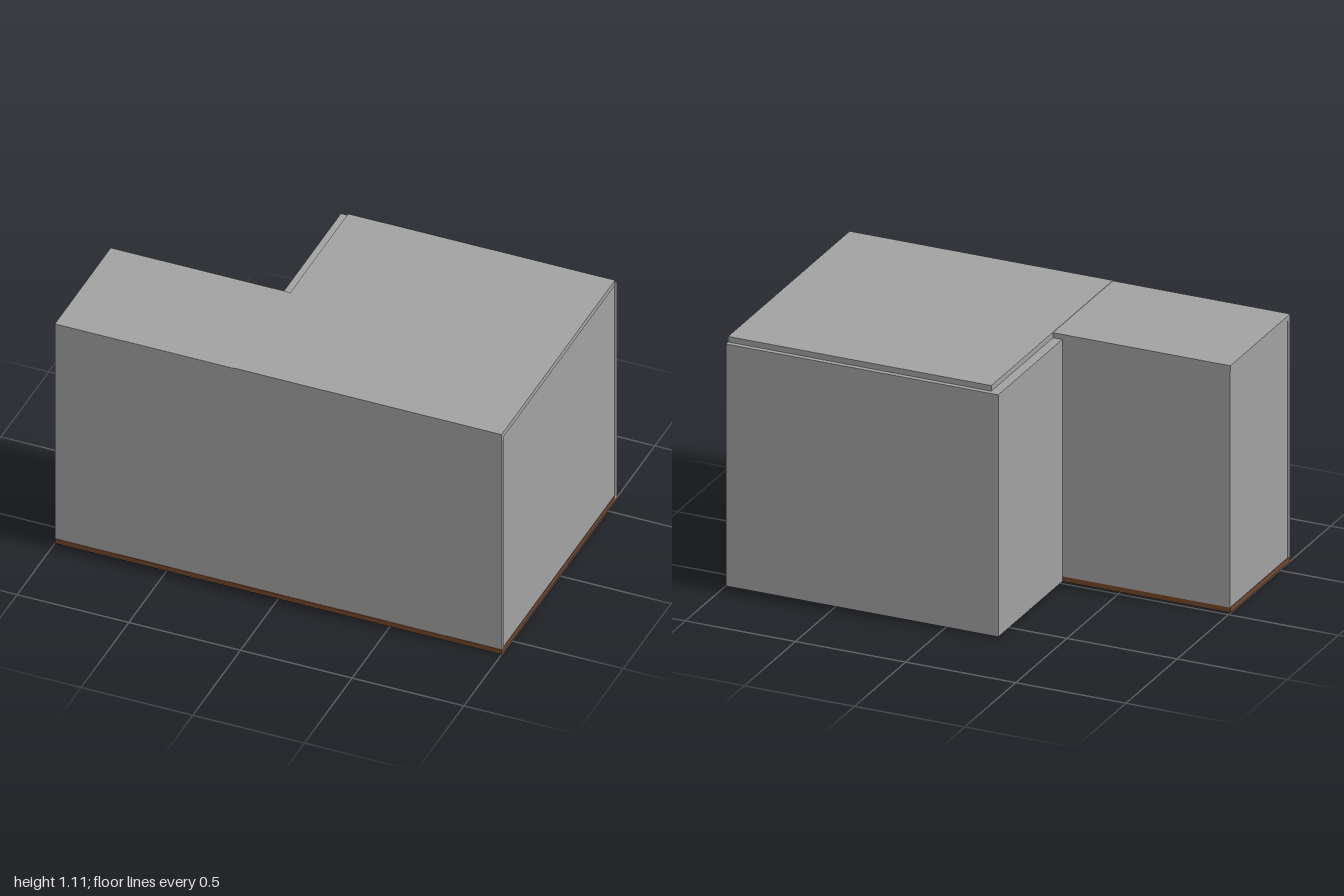
import * as THREE from 'three';

export function createModel() {
  const model = new THREE.Group();
  const grey = new THREE.MeshStandardMaterial({ color: 0xa1a1a1 });
  const brown = new THREE.MeshStandardMaterial({ color: 0x73462a });

  // Key heights and plan lines of the L-shaped room
  const floorTop = 0.023, wallTop = 1.088, top = 1.113;
  const front = 0.605, back = -0.605, innerBack = -0.583;
  const stepZ = 0.02, stepX = -0.237, innerStepX = -0.195;
  const t = 0.022, inset = 0.002;

  // Box given by its lower and upper limits on each axis
  function block(name, x0, x1, y0, y1, z0, z1, material = grey) {
    const geometry = new THREE.BoxGeometry(x1 - x0, y1 - y0, z1 - z0);
    const mesh = new THREE.Mesh(geometry, material);
    mesh.name = name;
    mesh.position.set((x0 + x1) / 2, (y0 + y1) / 2, (z0 + z1) / 2);
    model.add(mesh);
  }

  // Floor and ceiling, each in a main and a side slab; the side ceiling sits a hair lower
  block('mainFloor', innerStepX, 1, 0, floorTop, innerBack, front, brown);
  block('sideFloor', -1, innerStepX, 0, floorTop, stepZ, front, brown);
  block('mainCeiling', innerStepX, 1, wallTop, top, innerBack, front);
  block('sideCeiling', -1, innerStepX, wallTop, top - inset, stepZ, front);

  // Walls standing on the floor, slightly inside the slab edges
  block('frontWall', -1, 1, floorTop, wallTop, front - t, front - inset);
  block('leftWall', 1 - t, 1 - inset, floorTop, wallTop, innerBack, front - t);
  block('rightWall', -1 + inset, -1 + t, floorTop, wallTop, stepZ, front - t);
  block('recessBackWall', -1 + t, innerStepX, floorTop, wallTop, stepZ, stepZ + t);

  // Walls outside the floor edge, reaching the ground
  block('backWall', stepX, 1, 0, wallTop, back, innerBack);
  block('recessSideWall', stepX, innerStepX, 0, wallTop, innerBack, stepZ);

  return model;
}
